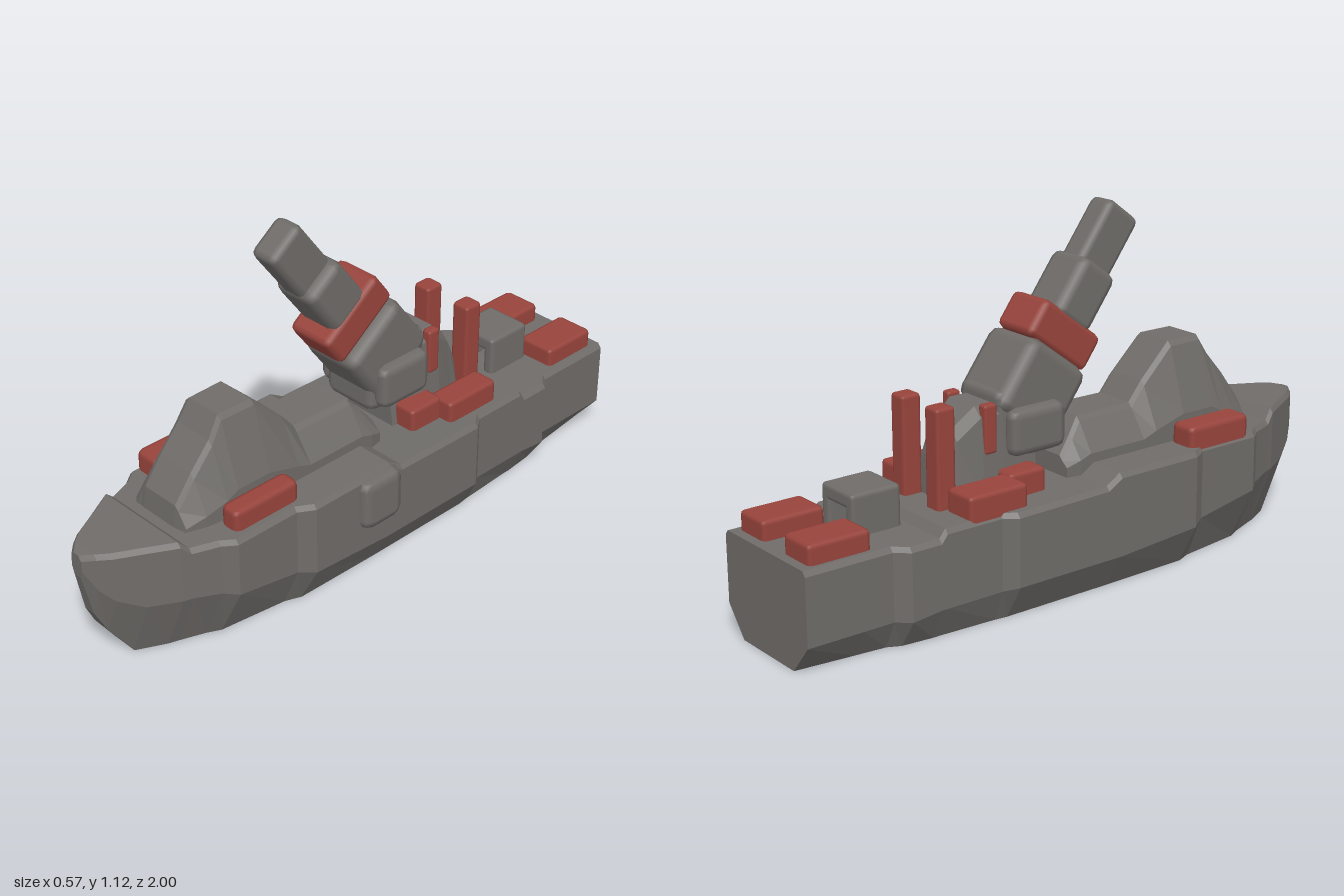
import * as THREE from 'three';
import { RoundedBoxGeometry } from 'three/addons/geometries/RoundedBoxGeometry.js';

const CX = -0.017; // centre plane of the ship

// Joins cross-sections { z, pts } (counter-clockwise seen from +z) into a closed, faceted solid
function loft(sections) {
  const pos = [];
  const n = sections[0].pts.length;
  const put = (s, i) => pos.push(s.pts[i % n][0], s.pts[i % n][1], s.z);
  for (let k = 0; k < sections.length - 1; k++) {
    const a = sections[k], b = sections[k + 1];
    for (let i = 0; i < n; i++) {
      put(a, i); put(a, i + 1); put(b, i + 1);
      put(a, i); put(b, i + 1); put(b, i);
    }
  }
  const cap = (s, front) => {
    const cy = s.pts.reduce((t, p) => t + p[1], 0) / n;
    for (let i = 0; i < n; i++) {
      pos.push(0, cy, s.z);
      put(s, front ? i : i + 1);
      put(s, front ? i + 1 : i);
    }
  };
  cap(sections[0], false);
  cap(sections[sections.length - 1], true);
  const g = new THREE.BufferGeometry();
  g.setAttribute('position', new THREE.Float32BufferAttribute(pos, 3));
  g.computeVertexNormals();
  return g;
}

// Mirrors the right half of a section (bottom to top) to the left
const mirrored = (half) => [...half, ...half.map(([x, y]) => [-x, y]).reverse()];

export function createModel() {
  const grey = new THREE.MeshStandardMaterial({ color: 0x6f6c69 });
  grey.name = 'hullGrey';
  const red = new THREE.MeshStandardMaterial({ color: 0x98443c });
  red.name = 'dullRed';

  const model = new THREE.Group();
  model.name = 'gunShip';

  const add = (name, geo, mat, parent = model) => {
    const m = new THREE.Mesh(geo, mat);
    m.name = name;
    parent.add(m);
    return m;
  };
  // Bevelled block given by its extents
  const block = (name, mat, [x0, x1], [y0, y1], [z0, z1], bevel = 0.015, parent = model) => {
    const m = add(name, new RoundedBoxGeometry(x1 - x0, y1 - y0, z1 - z0, 1, bevel), mat, parent);
    m.position.set((x0 + x1) / 2, (y0 + y1) / 2, (z0 + z1) / 2);
    return m;
  };

  // Hull: z, half width, bottom half width, chamfer top y, deck y
  const stations = [
    [-1.0, 0.205, 0.13, 0.09, 0.31],
    [-0.82, 0.205, 0.15, 0.09, 0.31],
    [-0.819, 0.205, 0.15, 0.09, 0.31],
    [-0.72, 0.205, 0.16, 0.09, 0.31],
    [-0.68, 0.24, 0.18, 0.09, 0.31],
    [-0.58, 0.24, 0.19, 0.1, 0.31],
    [-0.56, 0.24, 0.19, 0.1, 0.335],
    [-0.37, 0.24, 0.2, 0.1, 0.335],
    [-0.33, 0.27, 0.205, 0.11, 0.335],
    [0.0, 0.27, 0.205, 0.11, 0.34],
    [0.05, 0.27, 0.205, 0.11, 0.37],
    [0.35, 0.27, 0.2, 0.13, 0.37],
    [0.4, 0.24, 0.18, 0.14, 0.37],
    [0.62, 0.24, 0.15, 0.18, 0.37],
    [0.66, 0.21, 0.13, 0.19, 0.37],
    [0.74, 0.18, 0.1, 0.2, 0.37],
    [0.77, 0.17, 0.09, 0.2, 0.4],
    [0.86, 0.12, 0.045, 0.2, 0.4],
    [0.935, 0.08, 0.03, 0.24, 0.4],
    [0.97, 0.053, 0.02, 0.28, 0.4],
    [1.0, 0.022, 0.014, 0.345, 0.395],
  ];
  const hull = stations.map(([z, w, wb, c, top]) => {
    const keel = z < 0.87 ? 0 : z < 0.99 ? 0.11 + (z - 0.935) * 2 : 0.32; // stem rises at the bow
    const hollow = z > -0.82 && z < 0.75 ? 0.22 : 0; // open underside
    const inner = Math.min(0.13, wb * 0.75);
    return {
      z,
      pts: mirrored([[inner, keel + hollow], [inner, keel], [wb, keel], [w, c], [w, top - 0.015], [w - 0.012, top]]),
    };
  });
  add('hull', loft(hull), grey).position.x = CX;

  // Bulge on the left side of the hull
  block('sideBulge', grey, [0.2, 0.285], [0.19, 0.365], [0.02, 0.18], 0.035);

  // Forward deckhouse: z, base half width, top half width, roof y
  const house = [
    [-0.045, 0.13, 0.11, 0.4],
    [0.0, 0.14, 0.1, 0.455],
    [0.04, 0.14, 0.085, 0.5],
    [0.25, 0.14, 0.08, 0.5],
    [0.3, 0.14, 0.08, 0.56],
    [0.41, 0.14, 0.078, 0.665],
    [0.53, 0.14, 0.075, 0.665],
    [0.57, 0.14, 0.08, 0.6],
    [0.64, 0.13, 0.08, 0.52],
    [0.7, 0.11, 0.08, 0.44],
    [0.71, 0.1, 0.08, 0.36],
  ].map(([z, wb, wt, top]) => ({
    z, pts: mirrored([[wb, 0.32], [wb, 0.345 + (top - 0.32) * 0.3], [wt, top - 0.015], [wt - 0.015, top]]),
  }));
  add('deckhouse', loft(house), grey).position.x = CX;

  // Gun mount with a sloped back
  const mount = [[-0.44, 0.06, 0.46], [-0.4, 0.07, 0.54], [-0.33, 0.09, 0.6], [-0.25, 0.09, 0.6], [-0.13, 0.08, 0.5]]
    .map(([z, w, top]) => ({ z, pts: mirrored([[w + 0.02, 0.32], [w, top - 0.03], [w - 0.03, top]]) }));
  add('gunMount', loft(mount), grey).position.x = CX;
  block('cradle', grey, [CX - 0.1, CX + 0.1], [0.42, 0.64], [-0.27, -0.035], 0.03);

  // Raised gun; local y runs along the barrel
  const gun = new THREE.Group();
  gun.name = 'gun';
  gun.position.set(CX, 0.755, 0);
  gun.rotation.x = 0.64;
  model.add(gun);
  block('breech', grey, [-0.11, 0.11], [-0.3, -0.06], [-0.13, 0.125], 0.035, gun);
  block('gunCollar', red, [-0.081, 0.081], [-0.065, 0.055], [-0.135, 0.125], 0.02, gun);
  block('lowerBarrel', grey, [-0.08, 0.08], [0.03, 0.23], [-0.08, 0.075], 0.03, gun);
  block('barrel', grey, [-0.048, 0.048], [0.2, 0.42], [-0.07, 0.07], 0.022, gun);

  // Paired fittings: x extents measured from the centre plane
  for (const s of [-1, 1]) {
    const side = (a, b) => [a, b].map((v) => CX + s * v).sort((p, q) => p - q);
    const outer = s < 0 ? 0.235 : 0.21; // lockers reach further out on the right side
    block('trunnion', grey, side(0.08, 0.143), [0.44, 0.585], [-0.25, -0.05], 0.03);
    block('mountVent', red, side(0.07, 0.105), [0.46, 0.61], [-0.325, -0.28], 0.01);
    block('rearPost', red, side(0.05, 0.115), [0.32, 0.635], [-0.5, -0.435], 0.012);
    block('mountFoot', red, side(0.06, 0.165), [0.31, 0.41], [-0.28, -0.15], 0.015);
    block('midLocker', red, side(0.118, outer), [0.31, 0.405], [-0.475, -0.27]);
    block('foreLocker', red, side(0.14, outer), [0.34, 0.437], [0.36, 0.6], 0.02);
    block('sternLocker', red, side(0.05, 0.18), [0.28, 0.37], [-0.97, -0.77]);
    block('archLeg', grey, side(0.04, 0.08), [0.29, 0.42], [-0.765, -0.6]);
  }
  block('archTop', grey, [CX - 0.08, CX + 0.08], [0.385, 0.435], [-0.765, -0.6]);

  return model;
}
